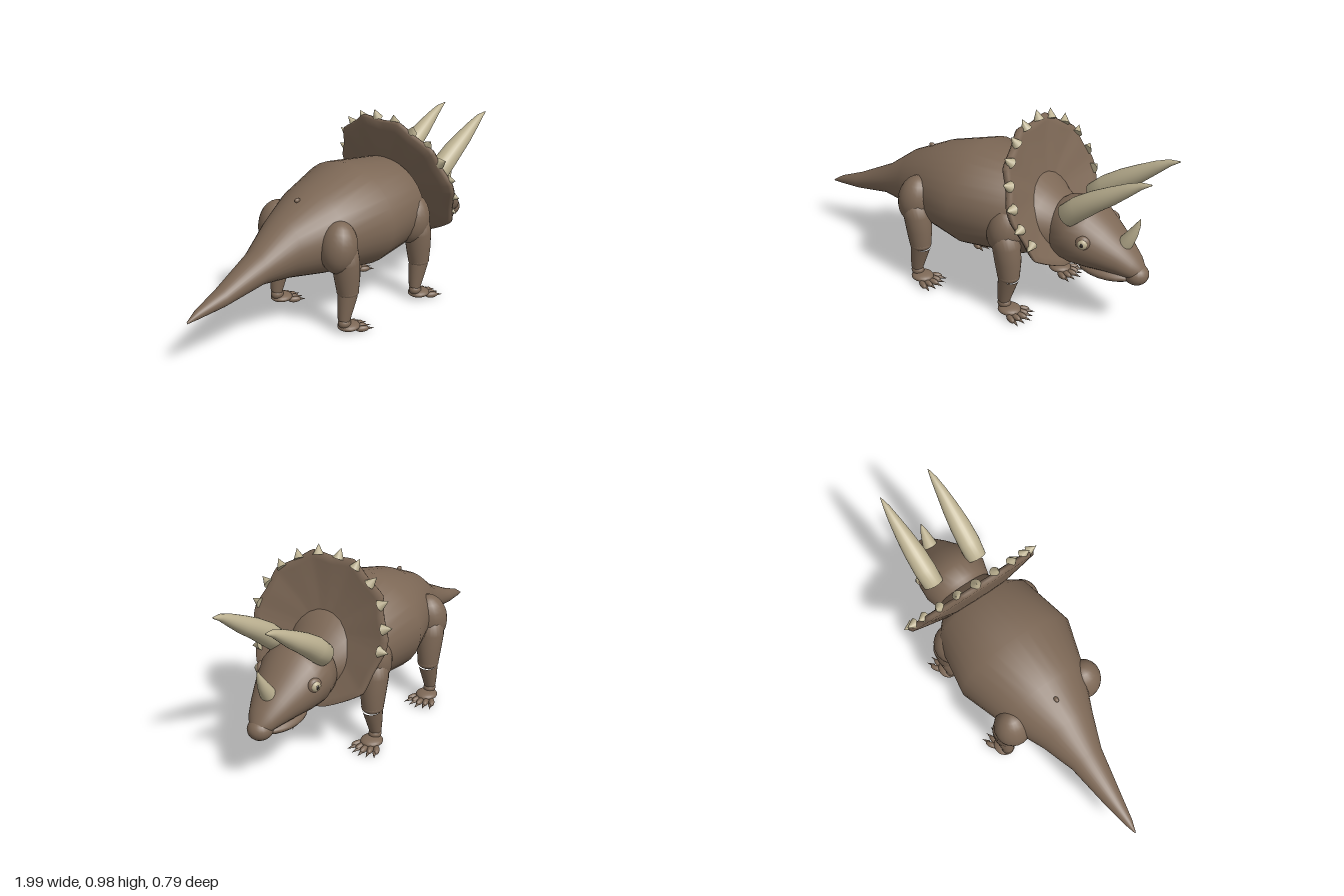
import * as THREE from 'three';

const mat = (name, color) => {
  const m = new THREE.MeshStandardMaterial({ color });
  m.name = name;
  return m;
};

// Skin a list of closed rings (arrays of [x, y, z]) with smooth normals
function loft(rings) {
  const n = rings[0].length, idx = [];
  for (let i = 0; i < rings.length - 1; i++)
    for (let j = 0; j < n; j++) {
      const a = i * n + j, b = i * n + (j + 1) % n;
      idx.push(a, b, a + n, b, b + n, a + n);
    }
  const g = new THREE.BufferGeometry();
  g.setAttribute('position', new THREE.Float32BufferAttribute(rings.flat(2), 3));
  g.setIndex(idx);
  g.computeVertexNormals();
  return g;
}

// Tube along [x, y, radius, zRadius, z] stations; upright keeps the rings vertical
function tube(stations, z0 = 0, upright = false, sides = 24) {
  return loft(stations.map(([x, y, r, rz = r, z = 0], i) => {
    const p = stations[Math.max(i - 1, 0)], q = stations[Math.min(i + 1, stations.length - 1)];
    const len = Math.hypot(q[0] - p[0], q[1] - p[1]);
    const tx = upright ? 1 : (q[0] - p[0]) / len, ty = upright ? 0 : (q[1] - p[1]) / len;
    return Array.from({ length: sides }, (_, j) => {
      const a = j / sides * Math.PI * 2, c = Math.cos(a) * r;
      return [x - ty * c, y + tx * c, z0 + z + Math.sin(a) * rz];
    });
  }));
}

// Upright loft from [x, top, bottom, halfWidth]
const hull = (rows) => tube(rows.map(([x, t, b, w]) => [x, (t + b) / 2, (t - b) / 2, w]), 0, true, 32);

export function createModel() {
  const model = new THREE.Group();
  model.name = 'hornedDinosaur';
  const skin = mat('brown skin', 0x7d6856);
  const horn = mat('pale horn', 0xbdb292);
  const dark = mat('dark pupil', 0x2a241e);

  const add = (name, geo, material, parent = model) => {
    const m = new THREE.Mesh(geo, material);
    m.name = name;
    parent.add(m);
    return m;
  };
  const unitSphere = new THREE.SphereGeometry(1, 20, 14);
  const ball = (name, pos, size, material = skin, parent = model) => {
    const m = add(name, unitSphere, material, parent);
    m.position.set(...pos);
    m.scale.set(...size);
    return m;
  };

  // Body and tail
  add('body', hull([
    [-1, 0.258, 0.25, 0.003], [-0.94, 0.298, 0.255, 0.022], [-0.8, 0.357, 0.268, 0.05],
    [-0.58, 0.472, 0.308, 0.09], [-0.42, 0.595, 0.295, 0.15], [-0.22, 0.692, 0.262, 0.243],
    [0.03, 0.765, 0.233, 0.327], [0.32, 0.728, 0.26, 0.275], [0.42, 0.62, 0.3, 0.19],
    [0.52, 0.56, 0.33, 0.14], [0.54, 0.45, 0.44, 0.005],
  ]), skin);
  ball('backBump', [-0.305, 0.655, 0], [0.016, 0.012, 0.011]);

  // Legs
  for (const [end, dx] of [['rear', 0], ['front', 0.535]])
    for (const [sideName, s] of [['Far', -1], ['Near', 1]]) {
      const leg = new THREE.Group();
      leg.name = end + sideName + 'Leg';
      leg.position.x = dx;
      model.add(leg);
      const z = s * 0.24;
      ball('hip', [-0.245, 0.455, s * 0.215], [0.092, 0.13, 0.095], skin, leg).rotation.z = -0.15;
      add('thigh', tube([[-0.23, 0.46, 0.01], [-0.23, 0.45, 0.064], [-0.222, 0.38, 0.069],
        [-0.212, 0.3, 0.066, 0.062], [-0.207, 0.22, 0.055, 0.053]], z), skin, leg);
      ball('knee', [-0.207, 0.222, z], [0.056, 0.034, 0.054], skin, leg);
      add('shin', tube([[-0.207, 0.21, 0.052, 0.05], [-0.222, 0.14, 0.042, 0.04],
        [-0.234, 0.075, 0.031, 0.029]], z), skin, leg);
      ball('ankle', [-0.23, 0.06, z], [0.034, 0.028, 0.031], skin, leg);
      ball('foot', [-0.2, 0.034, z], [0.058, 0.022, 0.055], skin, leg);
      for (let i = -2; i <= 2; i++) {
        const a = i * 0.26, reach = 0.012 * (2 - Math.abs(i));
        const tz = z + i * 0.027;
        ball('toe', [-0.158 + reach, 0.02, tz], [0.034, 0.016, 0.015], skin, leg).rotation.y = -a;
        const claw = add('claw', new THREE.ConeGeometry(0.01, 0.045, 10), skin, leg);
        claw.position.set(-0.118 + reach, 0.014, tz + Math.sin(a) * 0.025);
        claw.rotation.set(0, -a, -Math.PI / 2 - 0.12);
      }
    }

  // Neck frill: a tilted dish with a slightly scalloped rim
  const half = [[0, 0.933], [0.115, 0.94], [0.2, 0.882], [0.3, 0.822], [0.328, 0.735], [0.372, 0.65],
    [0.373, 0.59], [0.335, 0.49], [0.305, 0.395], [0.22, 0.34], [0.12, 0.292], [0, 0.275]];
  const outline = [...half, ...half.slice(1, -1).reverse().map(([z, y]) => [-z, y])];
  const rim = new THREE.CatmullRomCurve3(
    outline.map(([z, y]) => new THREE.Vector3(0, y, z)), true, 'catmullrom', 0.25).getPoints(88).slice(0, -1);
  const cy = 0.58;
  const frillX = (y) => 0.302 + (0.935 - y) * 0.4;
  const dish = [[0.01, -0.085], [0.5, -0.065], [0.85, -0.04], [0.97, -0.03], [1, -0.012],
    [0.985, 0.004], [0.9, -0.004], [0.5, -0.035], [0.01, -0.05]];
  add('frill', loft(dish.map(([t, d]) => rim.map((p) => {
    const y = cy + t * (p.y - cy);
    return [frillX(y) + d, y, t * p.z];
  }))), skin);

  // Spikes around the frill
  const spikes = [[0.325, 0.47], [0.37, 0.565], [0.375, 0.665], [0.345, 0.765], [0.28, 0.855], [0.19, 0.915],
    [0.08, 0.955], [-0.04, 0.96], [-0.145, 0.935], [-0.245, 0.88], [-0.325, 0.8], [-0.37, 0.7], [-0.375, 0.6]];
  for (const [z, y] of spikes) {
    const spike = add('frillSpike', new THREE.ConeGeometry(0.027, 0.052, 12), horn);
    const dir = new THREE.Vector3(0, y - cy, z).normalize();
    dir.x = -0.4 * dir.y;
    spike.quaternion.setFromUnitVectors(new THREE.Vector3(0, 1, 0), dir.normalize());
    spike.position.set(frillX(y) + 0.004, y - 0.004, z * 0.985);
  }

  // Head, beak and jaw
  add('head', hull([
    [0.42, 0.46, 0.44, 0.01], [0.44, 0.56, 0.34, 0.1], [0.5, 0.605, 0.295, 0.155], [0.58, 0.62, 0.288, 0.18],
    [0.66, 0.595, 0.29, 0.172], [0.74, 0.53, 0.292, 0.137], [0.82, 0.46, 0.29, 0.1],
    [0.88, 0.4, 0.285, 0.068], [0.915, 0.355, 0.29, 0.035], [0.925, 0.325, 0.315, 0.003],
  ]), skin);
  ball('beak', [0.883, 0.306, 0], [0.061, 0.052, 0.06]);
  ball('jaw', [0.73, 0.292, 0], [0.155, 0.04, 0.1]);

  // Paired face details and brow horns
  for (const s of [1, -1]) {
    ball('eyelid', [0.672, 0.472, s * 0.15], [0.036, 0.037, 0.022]).rotation.y = s * 0.35;
    ball('eye', [0.677, 0.473, s * 0.16], [0.024, 0.025, 0.018], horn).rotation.y = s * 0.35;
    ball('pupil', [0.681, 0.473, s * 0.174], [0.009, 0.011, 0.006], dark).rotation.y = s * 0.35;
    ball('nostril', [0.835, 0.36, s * 0.078], [0.01, 0.012, 0.008]);
    add('browHorn', tube([
      [0.565, 0.575, 0.01, 0.01, 0], [0.572, 0.58, 0.056, 0.053, -s * 0.003], [0.64, 0.64, 0.057, 0.057, 0],
      [0.72, 0.7, 0.05, 0.053, s * 0.002], [0.8, 0.752, 0.042, 0.043, s * 0.004],
      [0.88, 0.806, 0.029, 0.029, s * 0.006], [0.94, 0.843, 0.016, 0.017, s * 0.006],
      [0.992, 0.862, 0.002, 0.002, s * 0.006]], s * 0.134), horn);
  }

  // Nose horn
  add('noseHorn', tube([[0.795, 0.42, 0.04], [0.825, 0.465, 0.035, 0.037], [0.852, 0.515, 0.025, 0.026],
    [0.872, 0.56, 0.014], [0.885, 0.6, 0.001]]), horn);

  return model;
}
